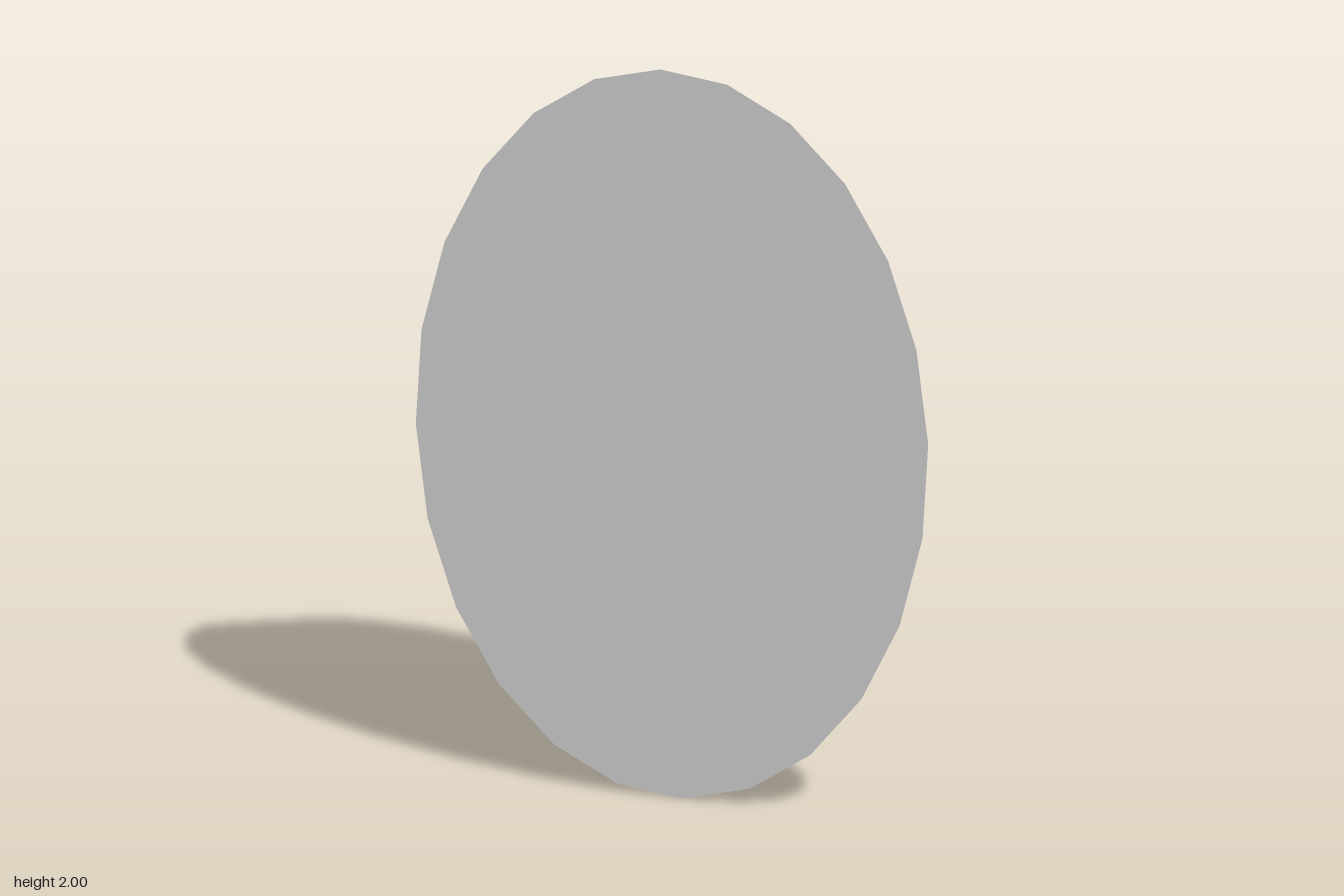
import * as THREE from 'three';

const SIDES = 24;
const HALF_WIDTH = 0.705;
const HALF_HEIGHT = 1.001;
const TWIST = THREE.MathUtils.degToRad(2.6);

export function createModel() {
  const group = new THREE.Group();
  group.name = 'ovalDisc';

  // Profile as (fraction of radius, depth), from the recess floor round to the front face
  const profile = [
    [0, -0.05],      // recess floor centre
    [0.627, -0.05],  // recess floor edge
    [0.627, -0.1],   // recess rim
    [0.783, -0.1],   // outer edge of the back ring
    [1, 0.1],        // front edge
    [0, 0.1],        // front face centre
  ].map(([r, z]) => new THREE.Vector2(r, z));

  // Revolve, turn the axis to z, then stretch into an oval
  const geometry = new THREE.LatheGeometry(profile, SIDES, TWIST);
  geometry.rotateX(Math.PI / 2);
  geometry.scale(HALF_WIDTH, HALF_HEIGHT, 1);

  // The back sits very slightly higher than the front
  const pos = geometry.attributes.position;
  for (let i = 0; i < pos.count; i++) {
    pos.setY(i, pos.getY(i) + 1 + (pos.getZ(i) < 0 ? 0.005 : 0));
  }

  const flat = geometry.toNonIndexed();
  flat.computeVertexNormals();

  const body = new THREE.Mesh(
    flat,
    new THREE.MeshStandardMaterial({ color: 0xcccccc, flatShading: true })
  );
  body.name = 'bevelledDiscBody';
  group.add(body);
  return group;
}
